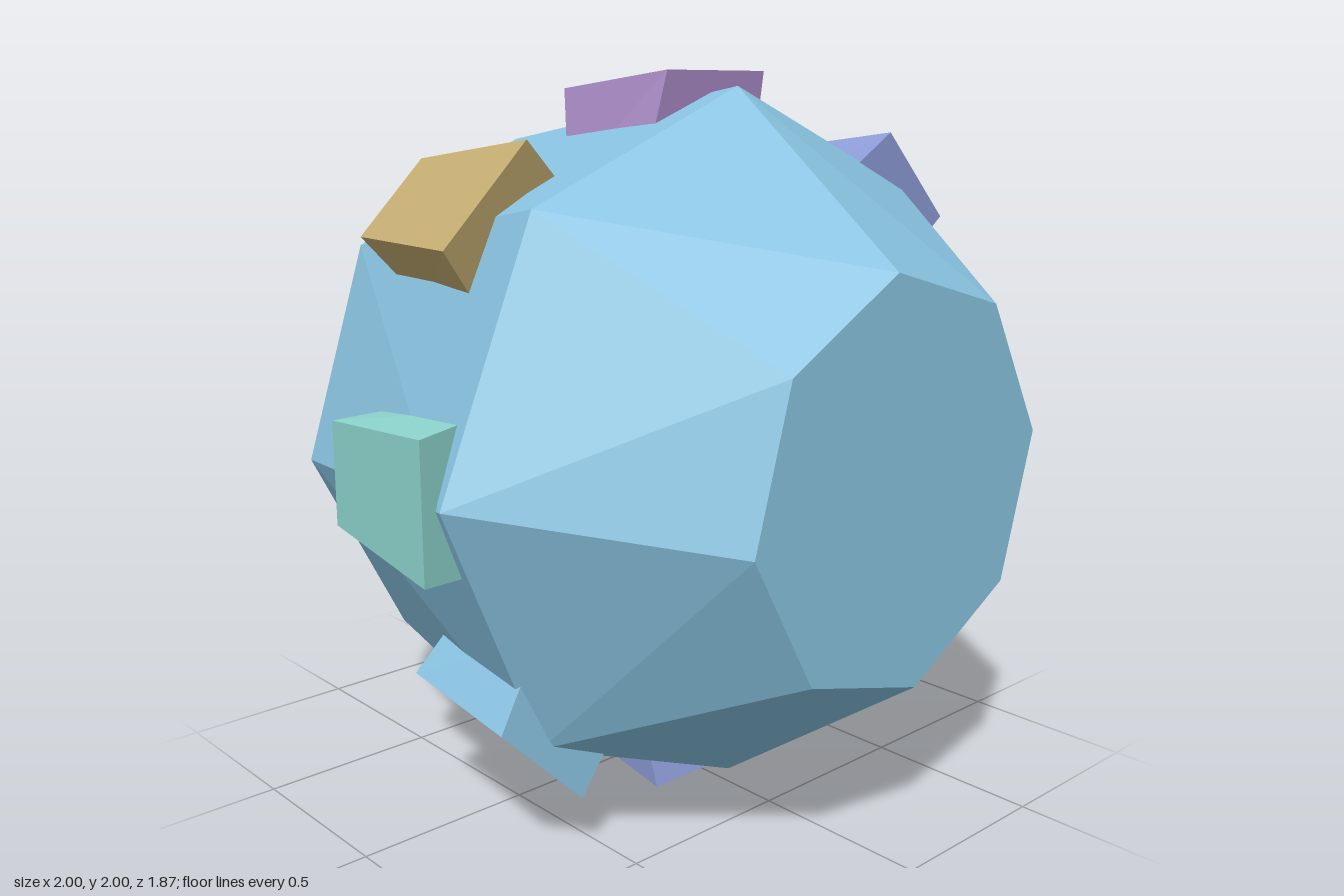
import * as THREE from 'three';
import { ConvexGeometry } from 'three/addons/geometries/ConvexGeometry.js';

const SIDES = 8;

function material(name, color) {
  const m = new THREE.MeshStandardMaterial({ color, flatShading: true });
  m.name = name;
  return m;
}

// Faceted body: four octagonal rings along z, each slightly twisted
function bodyGeometry() {
  const rings = [ // z, radius, twist
    [0.935, 0.539, 0.12],
    [0.34, 0.96, 0],
    [-0.53, 0.81, 0.08],
    [-0.935, 0.415, 0],
  ];
  const points = [];
  for (const [z, r, twist] of rings) {
    for (let i = 0; i < SIDES; i++) {
      const a = (i / SIDES) * Math.PI * 2 + twist;
      points.push(new THREE.Vector3(r * Math.cos(a), r * Math.sin(a), z));
    }
  }
  return new ConvexGeometry(points);
}

// Tapered block: y is the distance from the axis, wider and taller at the front
function blockGeometry() {
  const g = new THREE.BoxGeometry(1, 1, 1);
  const p = g.attributes.position;
  for (let i = 0; i < p.count; i++) {
    const side = Math.sign(p.getX(i));
    const outer = p.getY(i) > 0;
    const front = p.getZ(i) > 0;
    const halfWidth = front ? (outer ? 0.178 : 0.2) : (outer ? 0.138 : 0.15);
    const radius = (front ? 1 : 0.955) - (outer ? 0 : 0.26);
    const z = front ? (outer ? 0.233 : 0.173) : (outer ? -0.233 : -0.206);
    p.setXYZ(i, side * halfWidth, radius, z);
  }
  g.computeVertexNormals();
  return g;
}

export function createModel() {
  const blue = material('sky blue', 0x89c3e1);
  const periwinkle = material('periwinkle', 0x909edb);
  const lilac = material('lilac', 0xb998d8);
  const gold = material('gold', 0xc6ae74);
  const teal = material('teal', 0x8ed5cf);

  const model = new THREE.Group();
  model.name = 'facetedBall';

  const body = new THREE.Mesh(bodyGeometry(), blue);
  body.name = 'body';
  body.position.y = 1;
  model.add(body);

  // Ring of blocks, one per octagon corner, each with its own shift along z
  const blocks = [
    ['leftBlock', blue, 0.053],
    ['upperLeftBlock', periwinkle, 0.15],
    ['topBlock', lilac, 0.03],
    ['upperRightBlock', gold, -0.033],
    ['rightBlock', teal, 0.095],
    ['lowerRightBlock', blue, 0.15],
    ['bottomBlock', periwinkle, -0.005],
    ['lowerLeftBlock', lilac, 0],
  ];
  const geometry = blockGeometry();
  blocks.forEach(([name, mat, z], i) => {
    const block = new THREE.Mesh(geometry, mat);
    block.name = name;
    block.position.set(0, 1, z);
    block.rotation.z = (i / SIDES) * Math.PI * 2 - Math.PI / 2;
    model.add(block);
  });
  return model;
}
